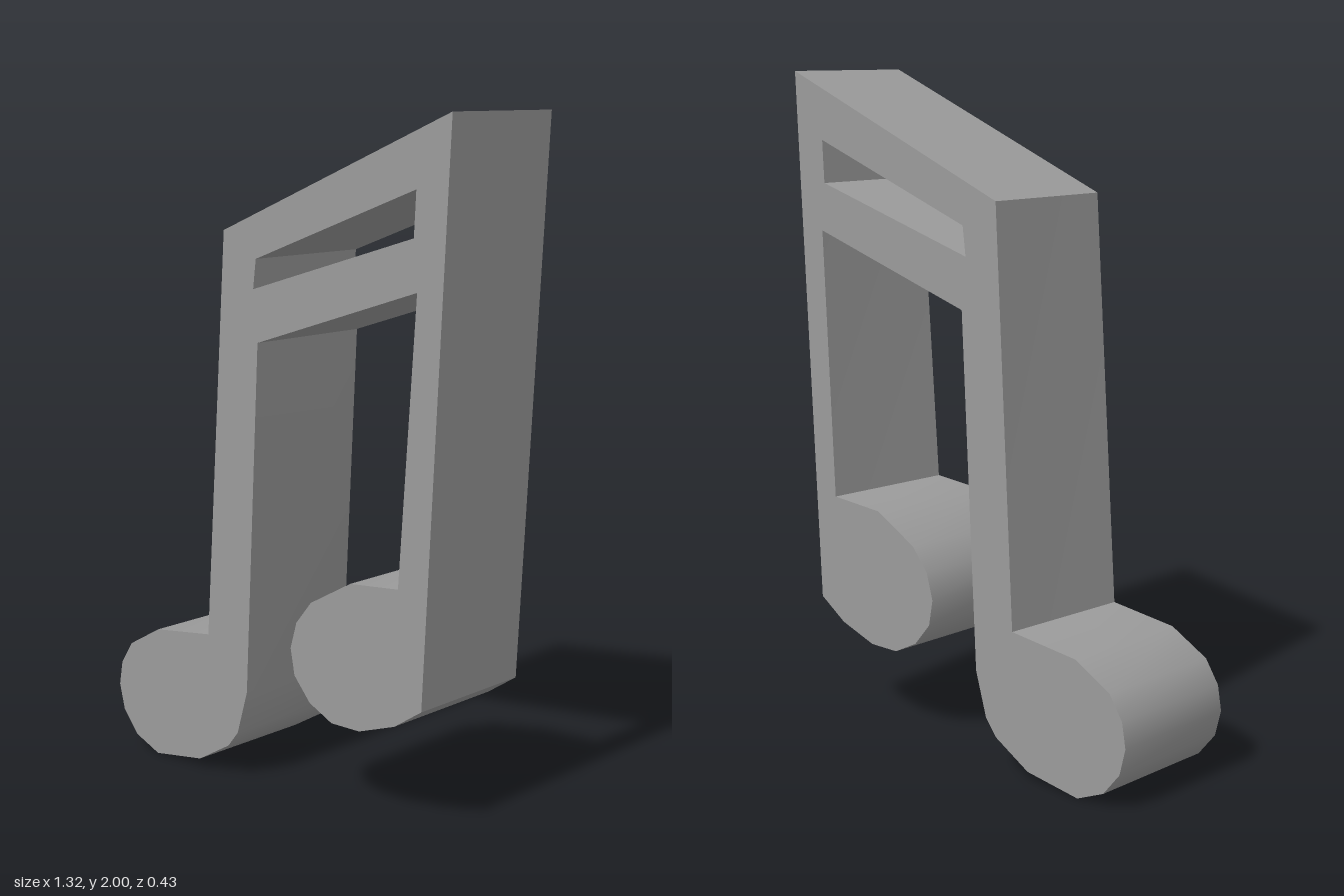
import * as THREE from 'three';
import { toCreasedNormals } from 'three/addons/utils/BufferGeometryUtils.js';

const DEPTH = 0.43;
const points = (list) => list.map(([x, y]) => new THREE.Vector2(x, y));

export function createModel() {
  const group = new THREE.Group();
  group.name = 'beamedNotes';

  // sloping top of the beam
  const beamTop = [[0.66, 2.0], [-0.175, 1.655]];

  // lower note head, from its junction with the stem round to the stem's right side
  const lowerJunction = [-0.257, 0.433];
  const lowerHead = [
    lowerJunction, [-0.48, 0.405], [-0.605, 0.335], [-0.65, 0.265], [-0.663, 0.19],
    [-0.643, 0.11], [-0.585, 0.04], [-0.49, 0.0], [-0.3, 0.028], [-0.175, 0.1],
    [-0.135, 0.15], [-0.095, 0.285],
  ];

  // underside of the second beam between the stems
  const beamUnderside = [[-0.042, 1.34], [0.548, 1.527]];

  // upper note head, ending at the foot of the outer stem
  const upperJunction = [0.49, 0.708];
  const upperHead = [
    upperJunction, [0.315, 0.693], [0.165, 0.61], [0.108, 0.54], [0.085, 0.46],
    [0.1, 0.38], [0.16, 0.31], [0.245, 0.268], [0.35, 0.268], [0.48, 0.312], [0.577, 0.376],
  ];

  const outline = new THREE.Shape(points([...beamTop, ...lowerHead, ...beamUnderside, ...upperHead]));

  // slot separating the two beams
  outline.holes.push(new THREE.Path(points([[-0.047, 1.58], [0.542, 1.798], [0.535, 1.67], [-0.058, 1.493]])));

  // one solid slab
  const slab = new THREE.ExtrudeGeometry(outline, { depth: DEPTH, bevelEnabled: false });
  slab.translate(0, 0, -DEPTH / 2);

  // the stems are slightly narrower at the back where they meet the heads
  const position = slab.attributes.position;
  for (let i = 0; i < position.count; i++) {
    const atJunction = [lowerJunction, upperJunction].some(([x, y]) =>
      Math.hypot(position.getX(i) - x, position.getY(i) - y) < 0.001);
    if (atJunction && position.getZ(i) < 0) position.setX(i, position.getX(i) + 0.018);
  }

  // rounded heads smooth, corners sharp
  const notes = new THREE.Mesh(
    toCreasedNormals(slab, 0.7),
    new THREE.MeshStandardMaterial({ color: 0x9b9b9b })
  );
  notes.name = 'notesWithDoubleBeam';
  group.add(notes);

  return group;
}
